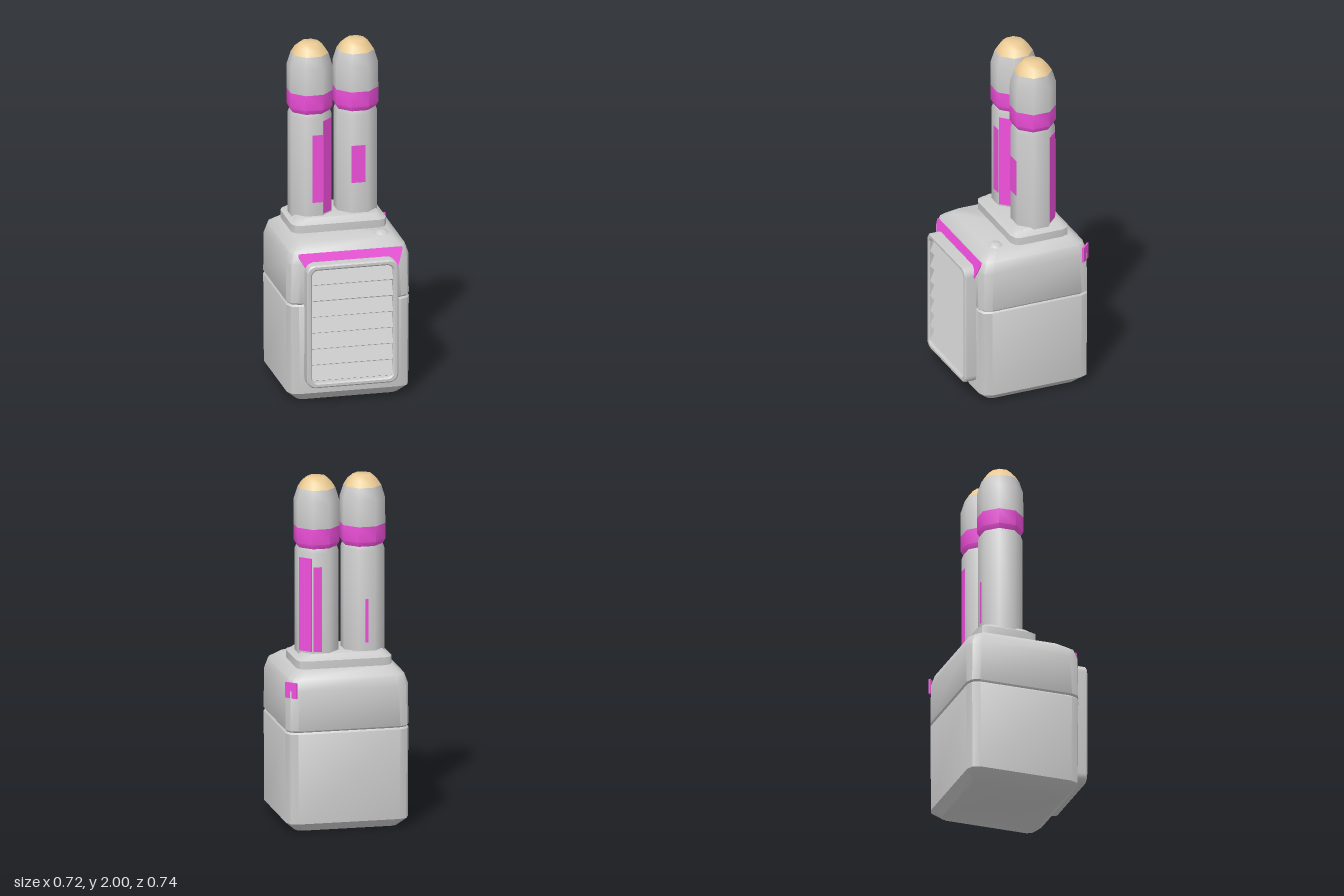
import * as THREE from 'three';
import { toCreasedNormals } from 'three/addons/utils/BufferGeometryUtils.js';

const material = (color) => new THREE.MeshStandardMaterial({ color, side: THREE.DoubleSide });
const grey = material(0xcccccc);
const pink = material(0xf050dc);
const tan = material(0xebca94);

function add(parent, name, geometry, mat, x = 0, y = 0, z = 0) {
  const mesh = new THREE.Mesh(geometry, mat);
  mesh.name = name;
  mesh.position.set(x, y, z);
  parent.add(mesh);
  return mesh;
}

// Stack of rounded rectangles: each level is [y, half width, half depth, corner radius]
function loft(levels, steps = 2) {
  const pos = [], index = [];
  const n = 4 * (steps + 1);
  for (const [y, w, d, r] of levels) {
    for (let c = 0; c < 4; c++) {
      const cx = (c === 0 || c === 3 ? 1 : -1) * (w - r);
      const cz = (c < 2 ? -1 : 1) * (d - r);
      for (let s = 0; s <= steps; s++) {
        const a = (c + s / steps) * Math.PI / 2;
        pos.push(cx + r * Math.cos(a), y, cz - r * Math.sin(a));
      }
    }
  }
  const top = (levels.length - 1) * n;
  pos.push(0, levels[0][0], 0, 0, levels[levels.length - 1][0], 0);
  for (let i = 0; i < n; i++) {
    const j = (i + 1) % n;
    for (let k = 0; k < top; k += n) {
      index.push(k + i, k + j, k + n + j, k + i, k + n + j, k + n + i);
    }
    index.push(top + n, j, i, top + n + 1, top + i, top + j);
  }
  const g = new THREE.BufferGeometry();
  g.setAttribute('position', new THREE.Float32BufferAttribute(pos, 3));
  g.setIndex(index);
  return toCreasedNormals(g, 0.75);
}

// Rounded rectangle outline, centred on the origin
function roundedRect(path, w, h, r) {
  path.moveTo(w - r, -h);
  path.absarc(w - r, -h + r, r, -Math.PI / 2, 0);
  path.absarc(w - r, h - r, r, 0, Math.PI / 2);
  path.absarc(-w + r, h - r, r, Math.PI / 2, Math.PI);
  path.absarc(-w + r, -h + r, r, Math.PI, Math.PI * 1.5);
  path.closePath();
  return path;
}

// Eight-sided turned part from [radius, y] pairs
function turned(points) {
  const profile = points.map(([r, y]) => new THREE.Vector2(r, y));
  return toCreasedNormals(new THREE.LatheGeometry(profile, 8, Math.PI / 8), 0.85);
}

// One barrel: shaft, pink collar, upper sleeve and tan tip
function barrel(name, x, strips) {
  const g = new THREE.Group();
  g.name = name;
  g.position.set(x, 0, -0.11);
  add(g, 'shaft', turned([[0.125, 0.98], [0.125, 1.58], [0.115, 1.61]]), grey);
  add(g, 'collar', turned([[0.115, 1.6], [0.131, 1.63], [0.131, 1.72]]), pink);
  add(g, 'sleeve', turned([[0.131, 1.72], [0.13, 1.87], [0.108, 1.94]]), grey);
  add(g, 'tip', turned([[0.108, 1.94], [0.085, 1.975], [0.055, 2], [0, 2]]), tan);
  // Vertical light strips, each covering part of one face
  for (const [turn, width, y0, y1, offset = 0] of strips) {
    const pivot = new THREE.Group();
    pivot.name = 'lightStrip';
    pivot.rotation.y = turn * Math.PI / 4;
    add(pivot, 'strip', new THREE.BoxGeometry(width, y1 - y0, 0.006), pink, offset, (y0 + y1) / 2, 0.1155);
    g.add(pivot);
  }
  return g;
}

export function createModel() {
  const model = new THREE.Group();
  model.name = 'twinBarrelUnit';

  // Main housing with a shallow seam
  add(model, 'housing', loft([
    [0, 0.295, 0.28, 0.04], [0.05, 0.352, 0.332, 0.06],
    [0.57, 0.355, 0.335, 0.06], [0.58, 0.347, 0.327, 0.06], [0.59, 0.355, 0.335, 0.06],
    [0.82, 0.355, 0.335, 0.07], [0.88, 0.335, 0.315, 0.06], [0.925, 0.275, 0.255, 0.05],
  ]), grey, -0.005, 0, -0.035);

  // Pink band on the front top edge, with drooping ends
  const band = new THREE.Shape([
    [-0.3, 0.05], [-0.3, 0.03], [-0.25, -0.06], [-0.22, 0], [0.22, 0], [0.27, -0.06], [0.3, 0.03], [0.3, 0.05],
  ].map(([x, y]) => new THREE.Vector2(x, y)));
  const bandMesh = add(model, 'frontBand',
    new THREE.ExtrudeGeometry(band, { depth: 0.006, bevelEnabled: false }), pink, 0, 0.83, 0.296);
  bandMesh.rotation.x = -0.28;

  // Pink patch on the rear left corner
  const patch = add(model, 'cornerPatch', new THREE.BoxGeometry(0.075, 0.09, 0.01), pink, 0.325, 0.825, -0.345);
  patch.rotation.y = Math.PI * 0.75;

  // Front grille: frame and tilted slats
  const grille = new THREE.Group();
  grille.name = 'grille';
  grille.position.set(-0.005, 0.465, 0.29);
  const frame = roundedRect(new THREE.Shape(), 0.265, 0.365, 0.05);
  frame.holes.push(roundedRect(new THREE.Path(), 0.235, 0.335, 0.035));
  add(grille, 'grilleFrame', toCreasedNormals(new THREE.ExtrudeGeometry(frame, {
    depth: 0.07, bevelSize: 0.008, bevelOffset: -0.008, bevelThickness: 0.008, bevelSegments: 1, curveSegments: 3,
  }), 0.6), grey);
  for (let i = 0; i < 7; i++) {
    const slat = add(grille, 'grilleSlat', new THREE.BoxGeometry(0.47, 0.085, 0.02), grey, 0, -0.285 + i * 0.095, 0.045);
    slat.rotation.x = -0.4;
  }
  model.add(grille);

  // Stepped plinth under the barrels
  add(model, 'plinth', loft([
    [0.91, 0.275, 0.175, 0.05], [0.97, 0.275, 0.175, 0.05],
    [0.985, 0.25, 0.155, 0.04], [1, 0.235, 0.14, 0.04],
  ]), grey, -0.005, 0, -0.105);

  // Small bump on the housing top
  add(model, 'topBump', turned([[0.045, 0], [0.025, 0.02], [0, 0.022]]), grey, 0.21, 0.922, 0.16);

  // Strips: [face turn, width, bottom, top, sideways offset]
  model.add(barrel('rightBarrel', -0.14, [[0, 0.06, 1.08, 1.48, 0.018], [1, 0.085, 1.01, 1.56], [4, 0.015, 1.05, 1.3]]));
  model.add(barrel('leftBarrel', 0.125, [[0, 0.08, 1.18, 1.4, -0.01], [3, 0.085, 1.01, 1.55], [4, 0.05, 1.01, 1.5, -0.02]]));
  return model;
}
